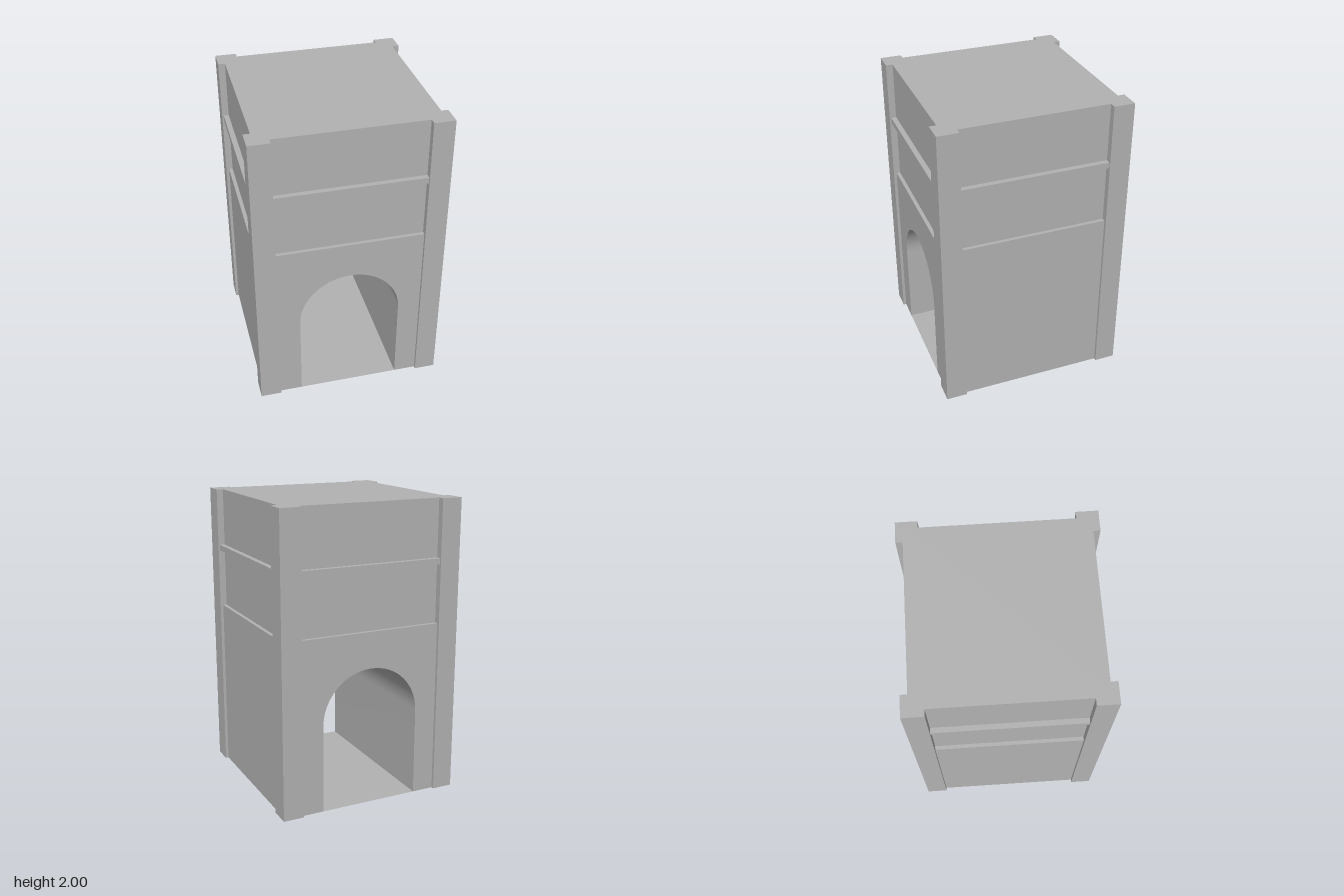
import * as THREE from 'three';
import { toCreasedNormals } from 'three/addons/utils/BufferGeometryUtils.js';

const HEIGHT = 2, LEDGE = 1.18;          // full height, top of the lower wall
const OUTER = 0.63, INNER = 0.49;        // corner pillar extents
const UPPER = 0.585, LOWER = 0.61, BAND = 0.62; // half widths of the walls and band
const ARCH = 0.34, SPRING = 0.595;       // arch radius and springing height

export function createModel() {
  const group = new THREE.Group();
  const stone = new THREE.MeshStandardMaterial({ color: 0xb2b2b2 });
  stone.name = 'grey stone';
  const floorStone = new THREE.MeshStandardMaterial({ color: 0xb2b2b2, side: THREE.DoubleSide });
  floorStone.name = 'grey floor stone';

  const add = (name, geometry, material = stone) => {
    const mesh = new THREE.Mesh(geometry, material);
    mesh.name = name;
    group.add(mesh);
    return mesh;
  };
  const block = (name, half, y0, y1) => {
    add(name, new THREE.BoxGeometry(half * 2, y1 - y0, half * 2)).position.y = (y0 + y1) / 2;
  };

  // Lower wall with the arched passage running front to back
  const wall = new THREE.Shape();
  wall.moveTo(-LOWER, 0);
  wall.lineTo(-ARCH, 0);
  wall.lineTo(-ARCH, SPRING);
  wall.absarc(0, SPRING, ARCH, Math.PI, 0, true);
  wall.lineTo(ARCH, 0);
  wall.lineTo(LOWER, 0);
  wall.lineTo(LOWER, LEDGE);
  wall.lineTo(-LOWER, LEDGE);
  wall.closePath();
  const wallGeometry = new THREE.ExtrudeGeometry(wall, { depth: LOWER * 2, bevelEnabled: false, curveSegments: 40 });
  wallGeometry.translate(0, 0, -LOWER);
  add('lowerWall', toCreasedNormals(wallGeometry, 0.5));

  // Thin passage floor
  const floor = new THREE.PlaneGeometry(ARCH * 2, LOWER * 2);
  floor.rotateX(-Math.PI / 2);
  add('passageFloor', floor, floorStone);

  // Recessed upper wall and the string course around it
  block('upperWall', UPPER, LEDGE, HEIGHT);
  block('stringCourse', BAND, 1.575, 1.615);

  // L-shaped pillars wrapping the four corners
  const corner = new THREE.Shape([
    [INNER, UPPER], [UPPER, UPPER], [UPPER, INNER],
    [OUTER, INNER], [OUTER, OUTER], [INNER, OUTER],
  ].map(([x, y]) => new THREE.Vector2(x, y)));
  const pillar = new THREE.ExtrudeGeometry(corner, { depth: HEIGHT, bevelEnabled: false });
  pillar.rotateX(-Math.PI / 2);
  const names = ['backLeftPillar', 'backRightPillar', 'frontRightPillar', 'frontLeftPillar'];
  names.forEach((name, i) => { add(name, pillar).rotation.y = i * Math.PI / 2; });

  return group;
}
